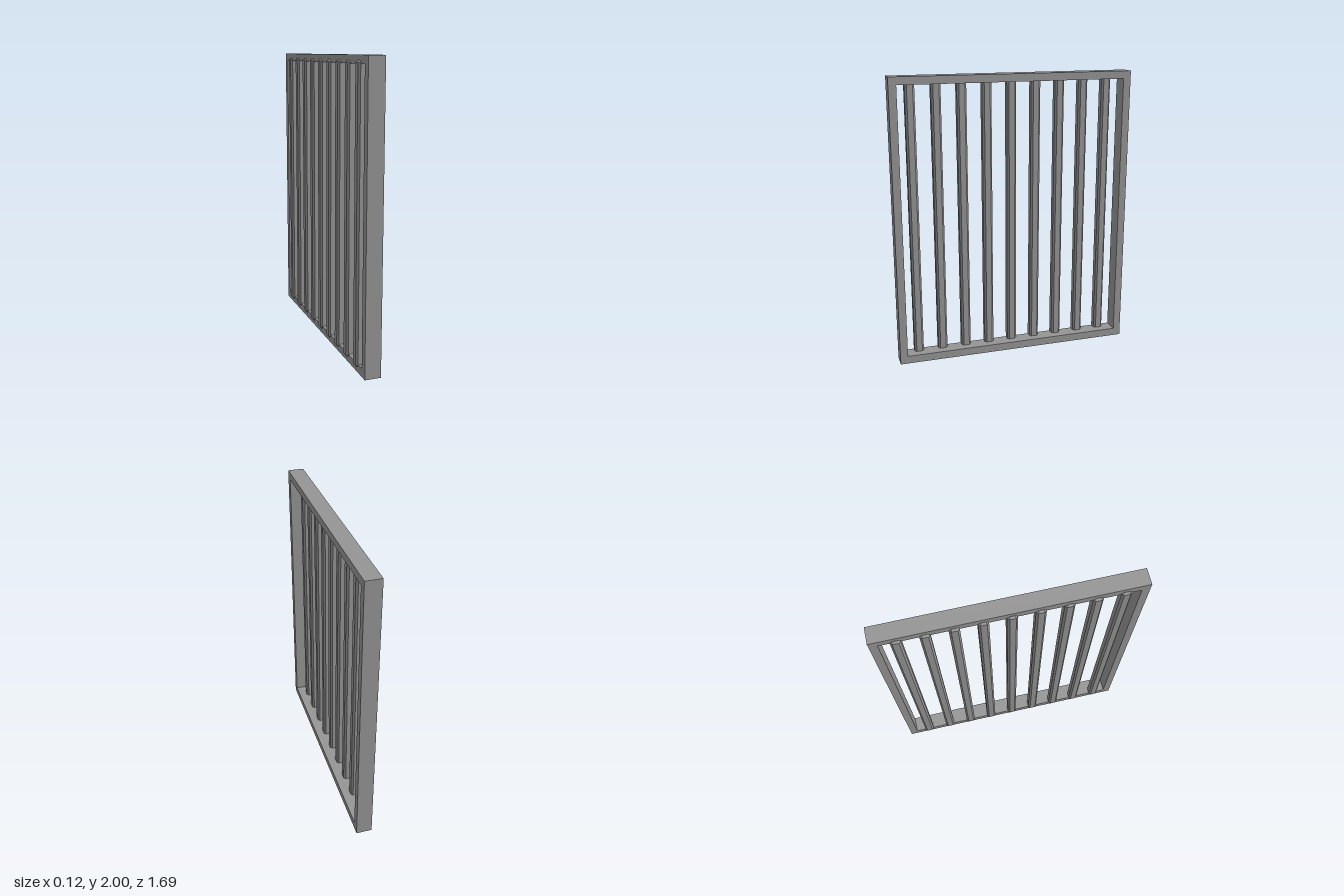
import * as THREE from 'three';

const material = new THREE.MeshStandardMaterial({ color: 0x959595, flatShading: true });

// Closed outline from [x, y] corners
const outline = (points, Type = THREE.Shape) =>
  new Type(points.map(([x, y]) => new THREE.Vector2(x, y)));

const rectangle = (halfWidth, bottom, top) => [
  [-halfWidth, bottom], [halfWidth, bottom], [halfWidth, top], [-halfWidth, top],
];

// Rectangular frame, extruded along x
function createFrame() {
  const depth = 0.11;
  const shape = outline(rectangle(0.844, 0, 2));
  shape.holes.push(outline(rectangle(0.791, 0.055, 1.947).reverse(), THREE.Path));
  const geometry = new THREE.ExtrudeGeometry(shape, { depth, bevelEnabled: false });
  geometry.rotateY(Math.PI / 2);
  geometry.translate(0.062 - depth, 0, 0);
  const frame = new THREE.Mesh(geometry, material);
  frame.name = 'frame';
  return frame;
}

// Square bar with chamfered edges and ends, standing along y
function createBarGeometry(width, length, chamfer) {
  const h = width / 2;
  const k = h - chamfer;
  const shape = outline([
    [h, -k], [h, k], [k, h], [-k, h], [-h, k], [-h, -k], [-k, -h], [k, -h],
  ]);
  const geometry = new THREE.ExtrudeGeometry(shape, {
    depth: length - 2 * chamfer,
    bevelThickness: chamfer,
    bevelSize: chamfer,
    bevelOffset: -chamfer,
    bevelSegments: 1,
  });
  geometry.center();
  geometry.rotateX(-Math.PI / 2);
  return geometry;
}

export function createModel() {
  const model = new THREE.Group();
  model.name = 'barredWindow';
  model.add(createFrame());

  // Nine evenly spaced bars, set towards the -x face of the frame
  const bars = new THREE.Group();
  bars.name = 'bars';
  const barGeometry = createBarGeometry(0.066, 1.936, 0.013);
  for (let i = 0; i < 9; i++) {
    const bar = new THREE.Mesh(barGeometry, material);
    bar.name = `bar${i + 1}`;
    bar.position.set(-0.029, 1, 0.005 + (i - 4) * 0.1732);
    bars.add(bar);
  }
  model.add(bars);
  return model;
}
